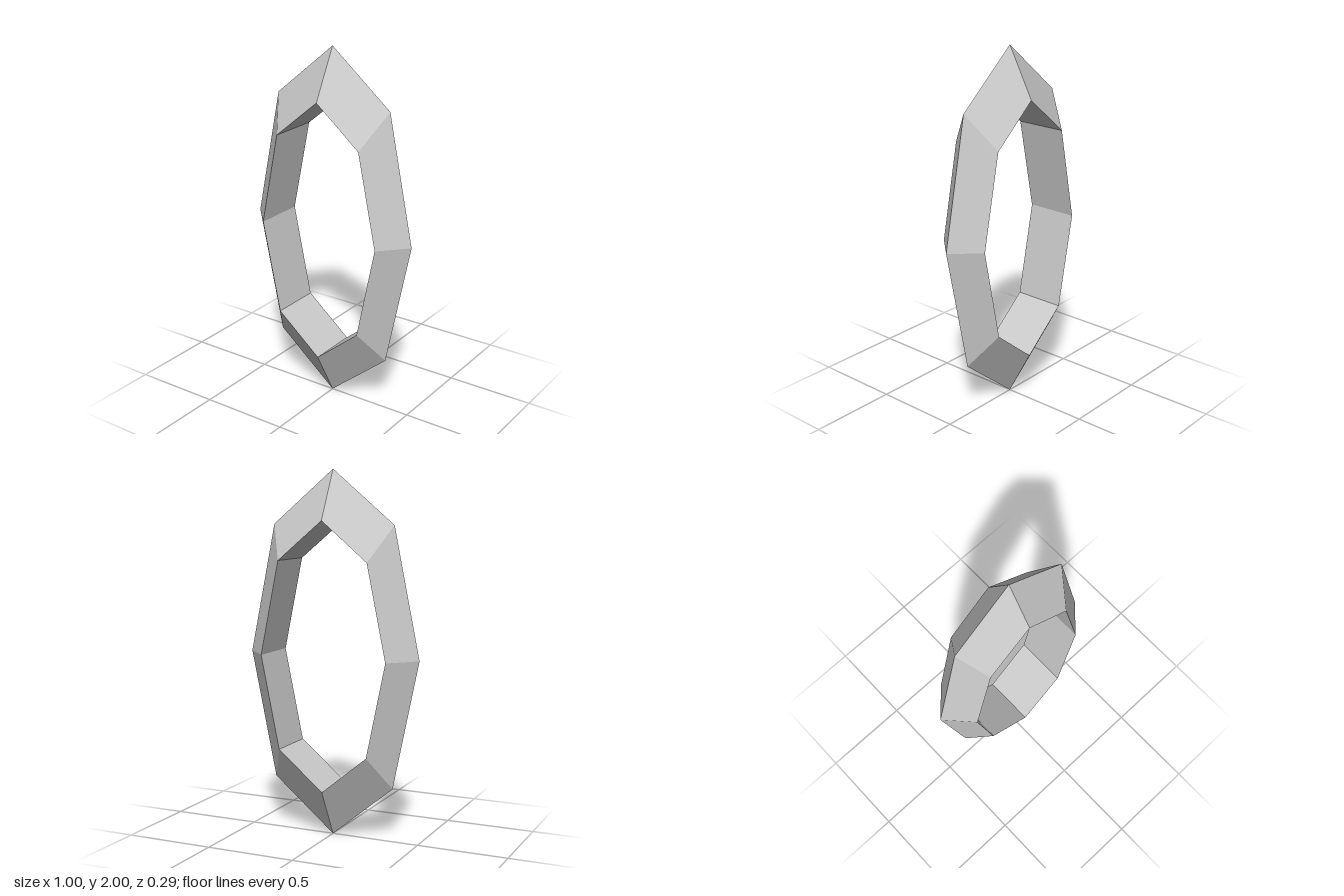
import * as THREE from 'three';

export function createModel() {
  const group = new THREE.Group();

  // Eight-sided ring with a triangular section: ridge outside, flat band inside
  const outer = 1, inner = 0.73, halfDepth = 0.145;
  const tube = (outer - inner) / 1.5;
  const geometry = new THREE.TorusGeometry(outer - tube, tube, 3, 8);

  // Squeeze to an upright oval, set the depth and stand it on the ground
  geometry.scale(0.5, 1, halfDepth / (tube * Math.sin(Math.PI / 3)));
  geometry.translate(0, 1, 0);

  const material = new THREE.MeshStandardMaterial({ color: 0xcccccc, flatShading: true });
  const ring = new THREE.Mesh(geometry, material);
  ring.name = 'ovalRing';
  group.add(ring);
  return group;
}
